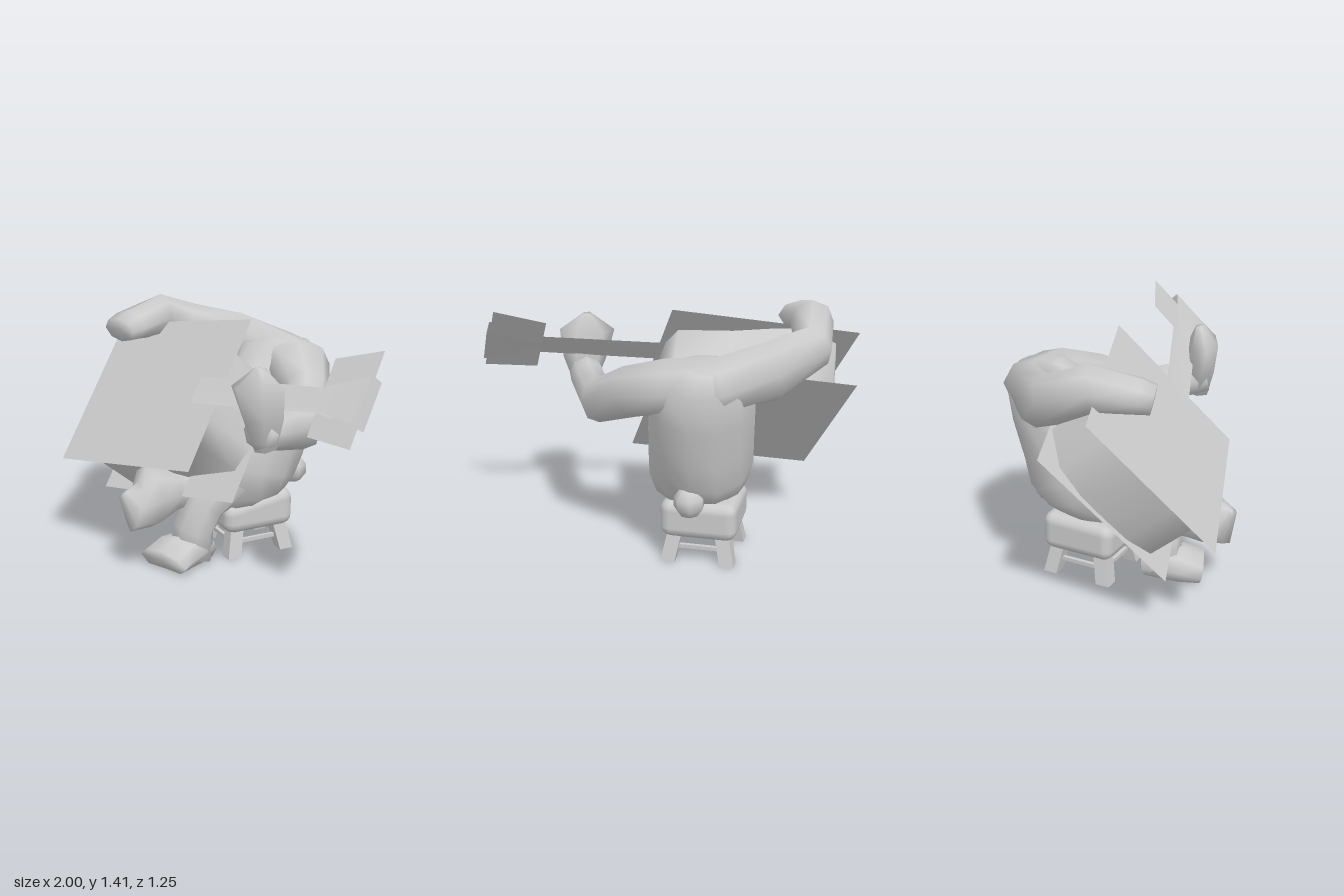
import * as THREE from 'three';
import { RoundedBoxGeometry } from 'three/addons/geometries/RoundedBoxGeometry.js';

const grey = new THREE.MeshStandardMaterial({ color: 0xcccccc });
const sheet = new THREE.MeshStandardMaterial({ color: 0xcccccc, side: THREE.DoubleSide });
const V = (x, y, z) => new THREE.Vector3(x, y, z);

function part(name, geometry, material = grey) {
  const mesh = new THREE.Mesh(geometry, material);
  mesh.name = name;
  return mesh;
}

function fromPoints(points, index) {
  const g = new THREE.BufferGeometry().setFromPoints(points);
  g.setIndex(index);
  g.computeVertexNormals();
  return g;
}

// Smooth capped loft; each ring is [x, y, z, radius along side, radius across]
function loft(rings, side, n = 8) {
  const pts = [], index = [], c = rings.map(r => V(r[0], r[1], r[2]));
  rings.forEach((r, i) => {
    const t = c[Math.min(i + 1, c.length - 1)].clone().sub(c[Math.max(i - 1, 0)]).normalize();
    const s = side.clone().addScaledVector(t, -t.dot(side)).normalize();
    const u = t.clone().cross(s);
    for (let j = 0; j < n; j++) {
      const a = (j / n) * Math.PI * 2;
      pts.push(c[i].clone().addScaledVector(s, Math.cos(a) * r[3]).addScaledVector(u, Math.sin(a) * r[4]));
    }
  });
  const last = (rings.length - 1) * n, c0 = pts.length;
  pts.push(c[0], c[c.length - 1]);
  for (let j = 0; j < n; j++) {
    const k = (j + 1) % n;
    for (let i = 0; i < last; i += n) index.push(i + j, i + k, i + n + j, i + k, i + n + k, i + n + j);
    index.push(c0, k, j, c0 + 1, last + j, last + k);
  }
  return fromPoints(pts, index);
}

// Sheet through a row of point pairs
function strip(pairs, closed = false) {
  const index = [], n = pairs.length;
  for (let i = 0; i < (closed ? n : n - 1); i++) {
    const k = (i + 1) % n;
    index.push(2 * i, 2 * i + 1, 2 * k, 2 * k, 2 * i + 1, 2 * k + 1);
  }
  return fromPoints(pairs.flat(), index);
}

function buildFigure() {
  const g = new THREE.Group();
  g.name = 'figure';
  const X = V(1, 0, 0), Y = V(0, 1, 0);
  g.add(part('torso', loft([
    [-0.1, 0.31, -0.1, 0.15, 0.2], [-0.1, 0.38, -0.09, 0.25, 0.27], [-0.09, 0.5, -0.1, 0.28, 0.34],
    [-0.08, 0.65, -0.17, 0.29, 0.36], [-0.06, 0.8, -0.25, 0.29, 0.32], [-0.04, 0.97, -0.37, 0.28, 0.24],
    [-0.02, 1.12, -0.42, 0.25, 0.2], [-0.02, 1.19, -0.43, 0.13, 0.13]], X, 12)));
  // Both arms run as one form across the shoulders
  g.add(part('armsAndShoulders', loft([
    [-0.765, 1.25, 0.16, 0.07, 0.12], [-0.755, 1.265, 0.09, 0.085, 0.135], [-0.72, 1.29, -0.14, 0.125, 0.12],
    [-0.65, 1.21, -0.34, 0.13, 0.11], [-0.38, 1.13, -0.44, 0.17, 0.1], [-0.1, 1.08, -0.44, 0.15, 0.19],
    [0.13, 1.06, -0.33, 0.15, 0.19], [0.3, 0.98, -0.13, 0.14, 0.13], [0.43, 0.86, 0.11, 0.125, 0.1],
    [0.43, 0.91, 0.34, 0.11, 0.1], [0.42, 0.94, 0.52, 0.09, 0.09]], Y)));
  g.add(part('leftHand', loft([
    [0.43, 0.84, 0.46, 0.06, 0.07], [0.42, 1.0, 0.48, 0.125, 0.085],
    [0.4, 1.16, 0.495, 0.16, 0.085], [0.4, 1.255, 0.47, 0.03, 0.03]], X, 6)));
  // Planted leg
  g.add(part('leftLeg', loft([
    [-0.05, 0.54, -0.02, 0.17, 0.16], [-0.09, 0.46, 0.1, 0.16, 0.14], [-0.15, 0.34, 0.2, 0.125, 0.11],
    [-0.2, 0.2, 0.24, 0.12, 0.11], [-0.22, 0.04, 0.25, 0.14, 0.1]], X)));
  const foot = loft([
    [-0.2, 0.06, 0.14, 0.1, 0.05], [-0.22, 0.085, 0.25, 0.14, 0.085],
    [-0.24, 0.08, 0.35, 0.16, 0.085], [-0.25, 0.055, 0.46, 0.17, 0.065]], X);
  // Flatten the sole on the ground
  const p = foot.attributes.position;
  for (let i = 0; i < p.count; i++) if (p.getY(i) < 0.05) p.setY(i, 0.01);
  foot.computeVertexNormals();
  g.add(part('leftFoot', foot));
  // Raised leg, sole facing forward
  g.add(part('rightLeg', loft([
    [-0.18, 0.44, 0.0, 0.14, 0.14], [-0.26, 0.41, 0.16, 0.1, 0.11], [-0.31, 0.41, 0.3, 0.1, 0.12],
    [-0.33, 0.43, 0.47, 0.125, 0.185], [-0.36, 0.39, 0.56, 0.1, 0.14], [-0.4, 0.47, 0.6, 0.03, 0.03]], X)));
  const tail = part('tail', new THREE.SphereGeometry(0.088, 7, 5));
  tail.position.set(0.05, 0.42, -0.4);
  g.add(tail);
  return g;
}

function buildInstrument() {
  const g = new THREE.Group();
  g.name = 'stringInstrument';
  // Body plane: origin corner, long edge, short edge and depth
  const o = V(-1, 1.21, -0.165), u = V(1.03, 0.165, 0.165), v = V(0.03, -0.685, 0.625), d = V(0.11, -0.22, -0.235);
  const at = (a, b, w) => o.clone().addScaledVector(u, a).addScaledVector(v, b).addScaledVector(d, w);
  for (const [w, name] of [[0, 'frontPanel'], [1, 'backPanel']])
    g.add(part(name, strip([[at(0, 0, w), at(0, 1, w)], [at(1, 0, w), at(1, 1, w)]]), sheet));

  // Wall between the two panels, following the body outline
  const half = [[0.03, 0.5], [0.035, 0.68], [0.09, 0.86], [0.29, 0.98], [0.44, 0.94],
    [0.65, 0.86], [0.93, 0.8], [0.97, 0.65], [0.97, 0.5]];
  const outline = [...half, ...half.slice(1, -1).reverse().map(([a, b]) => [a, 1 - b])];
  g.add(part('bodyWall', strip(outline.map(([a, b]) => [at(a, b, 0), at(a, b, 1)]), true), sheet));

  // Neck flaring into the head: front and back sheets spreading apart, joined by an end face
  const front = [
    [V(-0.11, 1.095, 0.265), V(-0.11, 0.98, 0.375)],
    [V(0.69, 1.175, 0.365), V(0.69, 1.095, 0.47)],
    [V(0.97, 1.28, 0.37), V(0.975, 1.08, 0.55)]];
  const depth = [0.04, 0.13, 0.21];
  const back = front.map((pair, i) => pair.map(q => q.clone().addScaledVector(d, depth[i])));
  g.add(part('neckFront', strip(front), sheet));
  g.add(part('neckBack', strip(back), sheet));
  g.add(part('headEnd', strip([front[2], back[2]]), sheet));
  g.add(part('tuningPegs', strip([[V(0.68, 1.29, 0.22), V(0.695, 0.96, 0.51)],
    [V(0.96, 1.37, 0.235), V(0.98, 0.97, 0.595)]]), sheet));
  return g;
}

function buildStool() {
  const g = new THREE.Group();
  g.name = 'stool';
  const turn = 1.07;
  // Seat with its front lowered
  const seat = new RoundedBoxGeometry(0.43, 0.22, 0.43, 2, 0.06).rotateY(turn).translate(0, 0.255, 0);
  const s = seat.attributes.position;
  for (let i = 0; i < s.count; i++)
    if (s.getY(i) > 0.25) s.setY(i, s.getY(i) - Math.max(0, s.getZ(i)) * 0.2);
  g.add(part('seat', seat));
  for (let i = 0; i < 4; i++) {
    const side = new THREE.Group();
    side.name = 'stoolSide';
    side.rotation.y = turn + i * Math.PI / 2;
    // Leg sheared outwards towards the ground
    const geo = new THREE.BoxGeometry(0.08, 0.16, 0.08).translate(0.135, 0.08, 0.135);
    const p = geo.attributes.position;
    for (let k = 0; k < p.count; k++) {
      const out = (0.16 - p.getY(k)) * 0.2;
      p.setX(k, p.getX(k) + out);
      p.setZ(k, p.getZ(k) + out);
    }
    geo.computeVertexNormals();
    const rail = part('rail', new THREE.BoxGeometry(0.28, 0.022, 0.022));
    rail.position.set(0, 0.08, 0.15);
    side.add(part('stoolLeg', geo), rail);
    g.add(side);
  }
  g.position.set(-0.115, 0, -0.145);
  return g;
}

export function createModel() {
  const model = new THREE.Group();
  model.name = 'seatedMusician';
  model.add(buildFigure(), buildInstrument(), buildStool());
  return model;
}
